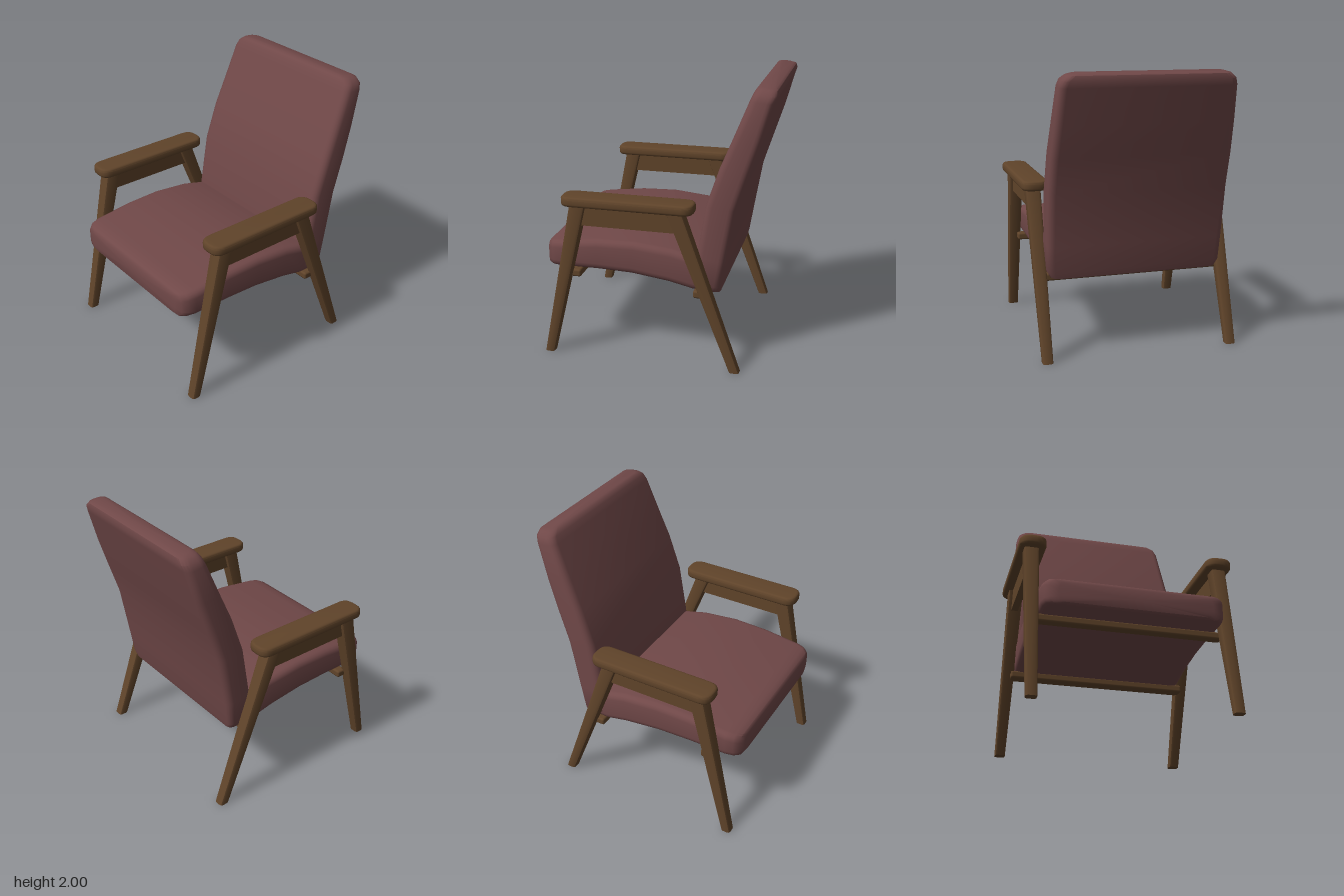
import * as THREE from 'three';
import { toCreasedNormals } from 'three/addons/utils/BufferGeometryUtils.js';
import { RoundedBoxGeometry } from 'three/addons/geometries/RoundedBoxGeometry.js';

const CREASE = 0.75;

// Rounded-rectangle sections lofted in order. Each section is
// [ax, ay, bx, by, halfWidth]: its two edges in the xy plane and its half width in z.
function loft(sections, radius, zCentre = 0, steps = 4) {
  const positions = [], indices = [];
  const n = 4 * (steps + 1);
  for (const [ax, ay, bx, by, w] of sections) {
    const h = Math.hypot(bx - ax, by - ay) / 2;
    const ux = (bx - ax) / (2 * h), uy = (by - ay) / (2 * h);
    const r = Math.min(radius, h * 0.95, w * 0.95);
    for (let corner = 0; corner < 4; corner++) {
      const su = corner === 0 || corner === 3 ? 1 : -1;
      const sz = corner < 2 ? 1 : -1;
      for (let k = 0; k <= steps; k++) {
        const t = (corner + k / steps) * Math.PI / 2;
        const u = su * (h - r) + r * Math.cos(t);
        const z = sz * (w - r) + r * Math.sin(t);
        positions.push((ax + bx) / 2 + ux * u, (ay + by) / 2 + uy * u, zCentre + z);
      }
    }
  }
  const last = sections.length - 1;
  for (let i = 0; i < last; i++) {
    for (let j = 0; j < n; j++) {
      const a = i * n + j, b = i * n + (j + 1) % n;
      indices.push(a, a + n, b, b, a + n, b + n);
    }
  }
  // End caps
  for (const i of [0, last]) {
    const [ax, ay, bx, by] = sections[i];
    const centre = positions.length / 3;
    positions.push((ax + bx) / 2, (ay + by) / 2, zCentre);
    for (let j = 0; j < n; j++) {
      const a = i * n + j, b = i * n + (j + 1) % n;
      if (i === 0) indices.push(centre, a, b);
      else indices.push(centre, b, a);
    }
  }
  const geometry = new THREE.BufferGeometry();
  geometry.setAttribute('position', new THREE.Float32BufferAttribute(positions, 3));
  geometry.setIndex(indices);
  return toCreasedNormals(geometry, CREASE);
}

// Flat armrest pad with rounded corners and softened edges
function armrestGeometry(length, width, height) {
  const bevel = 0.02, r = 0.06;
  const x = length / 2 - bevel, y = width / 2 - bevel;
  const shape = new THREE.Shape();
  shape.moveTo(-x + r, -y);
  shape.lineTo(x - r, -y);
  shape.quadraticCurveTo(x, -y, x, -y + r);
  shape.lineTo(x, y - r);
  shape.quadraticCurveTo(x, y, x - r, y);
  shape.lineTo(-x + r, y);
  shape.quadraticCurveTo(-x, y, -x, y - r);
  shape.lineTo(-x, -y + r);
  shape.quadraticCurveTo(-x, -y, -x + r, -y);
  const geometry = new THREE.ExtrudeGeometry(shape, {
    depth: height - 2 * bevel, bevelThickness: bevel, bevelSize: bevel,
    bevelSegments: 3, curveSegments: 5,
  });
  geometry.rotateX(-Math.PI / 2);
  geometry.translate(0, bevel, 0);
  return toCreasedNormals(geometry, CREASE);
}

export function createModel() {
  const model = new THREE.Group();
  model.name = 'armchair';
  const fabric = new THREE.MeshStandardMaterial({ color: 0x704848 });
  fabric.name = 'dull red fabric';
  const wood = new THREE.MeshStandardMaterial({ color: 0x60442a });
  wood.name = 'brown wood';

  const add = (name, geometry, material, x = 0, y = 0, z = 0, parent = model) => {
    const mesh = new THREE.Mesh(geometry, material);
    mesh.name = name;
    mesh.position.set(x, y, z);
    parent.add(mesh);
  };

  // Seat cushion, from its front edge to the backrest
  add('seatCushion', loft([
    [-0.81, 0.79, -0.81, 0.65, 0.53],
    [-0.797, 0.815, -0.795, 0.637, 0.585],
    [-0.76, 0.83, -0.76, 0.637, 0.615],
    [-0.70, 0.838, -0.70, 0.64, 0.63],
    [-0.42, 0.87, -0.42, 0.645, 0.635],
    [-0.15, 0.877, -0.17, 0.64, 0.64],
    [0.12, 0.85, 0.10, 0.605, 0.64],
    [0.30, 0.805, 0.27, 0.567, 0.64],
    [0.40, 0.78, 0.36, 0.56, 0.63],
  ], 0.05), fabric);

  // Backrest cushion, from bottom to top
  add('backCushion', loft([
    [0.31, 0.56, 0.44, 0.545, 0.57],
    [0.285, 0.585, 0.465, 0.555, 0.615],
    [0.275, 0.63, 0.475, 0.60, 0.64],
    [0.30, 0.82, 0.505, 0.79, 0.645],
    [0.36, 1.19, 0.57, 1.17, 0.647],
    [0.45, 1.46, 0.65, 1.42, 0.643],
    [0.54, 1.68, 0.725, 1.65, 0.63],
    [0.635, 1.92, 0.795, 1.90, 0.615],
    [0.655, 1.965, 0.81, 1.945, 0.60],
    [0.67, 1.99, 0.806, 1.98, 0.565],
    [0.69, 2.0, 0.79, 1.99, 0.53],
  ], 0.05), fabric);

  // Side frames: splayed tapering legs, apron and armrest
  for (const side of [1, -1]) {
    const frame = new THREE.Group();
    frame.name = side > 0 ? 'leftSideFrame' : 'rightSideFrame';
    const z = side * 0.68;
    add('frontLeg', loft([
      [-0.81, 0, -0.74, 0, 0.037],
      [-0.575, 1.17, -0.46, 1.17, 0.052],
    ], 0.018, z, 2), wood, 0, 0, 0, frame);
    add('backLeg', loft([
      [0.557, 0, 0.63, 0, 0.037],
      [0.10, 1.17, 0.215, 1.17, 0.052],
    ], 0.018, z, 2), wood, 0, 0, 0, frame);
    add('apron', new THREE.BoxGeometry(0.68, 0.16, 0.05), wood, -0.165, 1.085, z, frame);
    add('armrest', armrestGeometry(0.94, 0.19, 0.07), wood, -0.17, 1.15, side * 0.674, frame);
    model.add(frame);
  }

  // Rails carrying the seat
  add('frontRail', new RoundedBoxGeometry(0.075, 0.055, 1.33, 2, 0.015), wood, -0.57, 0.62, 0);
  add('backRail', new RoundedBoxGeometry(0.10, 0.055, 1.33, 2, 0.015), wood, 0.335, 0.547, 0);
  return model;
}
